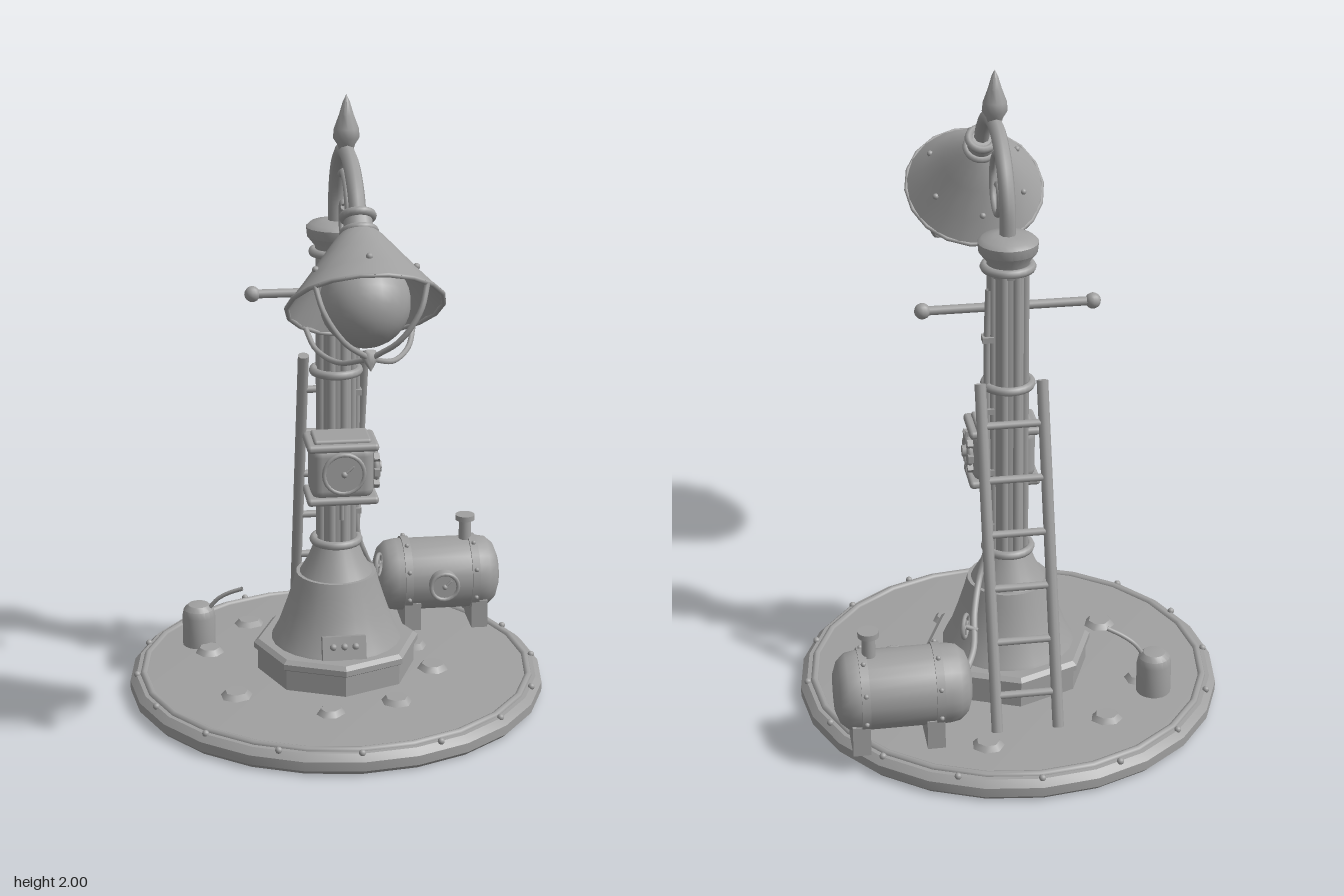
import * as THREE from 'three';
import { RoundedBoxGeometry } from 'three/addons/geometries/RoundedBoxGeometry.js';
import { toCreasedNormals } from 'three/addons/utils/BufferGeometryUtils.js';

const grey = new THREE.MeshStandardMaterial({ color: 0xa0a0a0 });
grey.name = 'plain grey';
grey.side = THREE.DoubleSide;
const V = (x, y, z) => new THREE.Vector3(x, y, z);
const UP = V(0, 1, 0);

function add(parent, name, geo, x = 0, y = 0, z = 0) {
  const m = new THREE.Mesh(geo, grey);
  m.name = name;
  m.position.set(x, y, z);
  parent.add(m);
  return m;
}
function group(parent, name, x = 0, y = 0, z = 0) {
  const g = new THREE.Group();
  g.name = name;
  g.position.set(x, y, z);
  parent.add(g);
  return g;
}
const lathe = (pts, seg = 24, crease = 0.6) =>
  toCreasedNormals(new THREE.LatheGeometry(pts.map(p => new THREE.Vector2(p[0], p[1])), seg), crease);
const cyl = (r1, r2, h, seg = 16) => new THREE.CylinderGeometry(r1, r2, h, seg);
const ball = (r) => new THREE.SphereGeometry(r, 12, 8);
const tube = (pts, r, n = 32) => new THREE.TubeGeometry(new THREE.CatmullRomCurve3(pts), n, r, 8);
const flatRing = (r, t, seg = 24) => new THREE.TorusGeometry(r, t, 8, seg).rotateX(Math.PI / 2);
function rod(parent, name, a, b, r) {
  const m = add(parent, name, cyl(r, r, a.distanceTo(b), 10));
  m.position.copy(a).add(b).multiplyScalar(0.5);
  m.quaternion.setFromUnitVectors(UP, b.clone().sub(a).normalize());
  return m;
}
function around(n, fn, offset = 0) {
  for (let i = 0; i < n; i++) {
    const a = offset + i / n * Math.PI * 2;
    fn(Math.cos(a), Math.sin(a), a, i);
  }
}

function buildBase(root) {
  const g = group(root, 'base', 0, 0, -0.095);
  add(g, 'baseDisc', lathe([[0, 0], [0.66, 0], [0.675, 0.015], [0.675, 0.045], [0.655, 0.065], [0.62, 0.068], [0, 0.068]]));
  add(g, 'baseRim', flatRing(0.63, 0.013), 0, 0.064);
  around(16, (c, s) => add(g, 'rimRivet', ball(0.011), c * 0.652, 0.066, s * 0.652));
  // Flat paving stones, each a slightly different irregular disc
  const stones = [[-0.255, -0.46], [-0.405, -0.245], [-0.345, 0.11], [-0.06, 0.27], [0.155, 0.215], [0.31, -0.025], [0.275, -0.21], [0.135, -0.55]];
  stones.forEach(([x, z], i) => {
    const m = add(root, 'stone', cyl(0.036, 0.052, 0.018, 7), x, 0.076, z);
    m.rotation.y = i * 1.3;
    m.scale.z = 0.85 + 0.1 * (i % 3);
  });
}

function buildPost(root) {
  const g = group(root, 'post', 0, 0, -0.095);
  add(g, 'plinth', lathe([[0.258, 0.065], [0.258, 0.135], [0.27, 0.142], [0.27, 0.16], [0.255, 0.172], [0, 0.172]], 8, 0.3));
  add(g, 'bellFoot', lathe([[0.215, 0.165], [0.208, 0.18], [0.187, 0.22], [0.162, 0.29], [0.14, 0.36], [0.13, 0.4], [0.118, 0.4], [0.09, 0.45], [0.066, 0.51]]));
  add(g, 'shaft', cyl(0.055, 0.055, 1.0), 0, 0.97);
  around(8, (c, s) => add(g, 'rib', cyl(0.014, 0.014, 0.96, 8), c * 0.052, 0.98, s * 0.052), Math.PI / 8);
  for (const y of [0.51, 1.08, 1.465]) add(g, 'collar', flatRing(0.072, 0.014), 0, y);
  add(g, 'capital', lathe([[0.06, 1.44], [0.066, 1.485], [0.09, 1.515], [0.093, 1.545], [0.08, 1.557], [0.04, 1.565], [0, 1.565]]));
  // Cross bar with ball ends
  rod(g, 'crossBar', V(-0.26, 1.335, 0), V(0.26, 1.335, 0), 0.014);
  for (const x of [-1, 1]) add(g, 'barKnob', ball(0.025), x * 0.262, 1.335);
  // Name-plate sized control panel on the foot
  const panel = group(g, 'footPanel', 0, 0.215, 0.205);
  panel.rotation.x = -0.3;
  add(panel, 'panelPlate', new THREE.BoxGeometry(0.14, 0.075, 0.035));
  for (const x of [-0.036, 0, 0.036]) add(panel, 'panelButton', ball(0.011), x, 0.005, 0.02);
}

function buildArm(root) {
  const arc = [[-0.093, 1.55], [-0.085, 1.65], [-0.035, 1.745], [0.06, 1.81], [0.17, 1.828], [0.285, 1.808], [0.38, 1.752], [0.44, 1.67]];
  add(root, 'arm', tube(arc.map(([z, y]) => V(0, y, z)), 0.025, 48));
  add(root, 'finial', lathe([[0.022, 1.835], [0.026, 1.85], [0.04, 1.872], [0.037, 1.9], [0.022, 1.94], [0.01, 1.98], [0, 2]], 12, 1), 0, 0, 0.157);
  const curl = [[0.03, 1.735], [0.085, 1.752], [0.16, 1.728], [0.206, 1.656], [0.188, 1.585], [0.13, 1.553], [0.07, 1.575], [0.054, 1.625], [0.078, 1.658], [0.11, 1.652]];
  add(root, 'scroll', tube(curl.map(([z, y]) => V(0, y, z)), 0.011, 48));
}

function buildLamp(root) {
  // Local -y runs from the neck toward the rim
  const g = group(root, 'lamp', 0, 1.67, 0.437);
  g.rotation.x = -0.655;
  add(g, 'neck', cyl(0.04, 0.045, 0.06), 0, 0.005);
  add(g, 'neckRing', flatRing(0.042, 0.013), 0, 0.03);
  add(g, 'neckLowerRing', flatRing(0.046, 0.012), 0, -0.02);
  add(g, 'shade', lathe([[0.04, -0.01], [0.07, -0.04], [0.115, -0.1], [0.175, -0.18], [0.228, -0.247], [0.22, -0.247], [0.165, -0.18], [0.06, -0.045]], 18));
  add(g, 'shadeRim', flatRing(0.224, 0.007, 18), 0, -0.246);
  around(6, (c, s) => add(g, 'shadeRivet', ball(0.01), c * 0.165, -0.165, s * 0.165), Math.PI / 6);
  add(g, 'globe', new THREE.SphereGeometry(0.13, 24, 16), 0, -0.235);
  around(4, (c, s) => {
    const pts = [[0.222, -0.245], [0.19, -0.32], [0.11, -0.385], [0.01, -0.405]];
    add(g, 'cageBar', tube(pts.map(([r, y]) => V(c * r, y, s * r)), 0.008, 16));
  }, Math.PI / 4);
  add(g, 'cageTip', lathe([[0, -0.445], [0.012, -0.425], [0.025, -0.4], [0.02, -0.385], [0, -0.38]], 12, 1));
}

function buildClockBox(root) {
  const g = group(root, 'clockBox', 0, 0.795, 0.025);
  add(g, 'boxBody', new RoundedBoxGeometry(0.2, 0.18, 0.14, 3, 0.035));
  for (const y of [-0.09, 0.085]) add(g, 'boxTrim', new RoundedBoxGeometry(0.226, 0.026, 0.155, 3, 0.012), 0, y, 0);
  add(g, 'boxLid', new RoundedBoxGeometry(0.18, 0.02, 0.12, 2, 0.009), 0, 0.1);
  add(g, 'dial', cyl(0.062, 0.066, 0.03, 24).rotateX(Math.PI / 2), 0, 0.008, 0.078);
  add(g, 'dialRim', new THREE.TorusGeometry(0.063, 0.007, 8, 24), 0, 0.008, 0.09);
  add(g, 'dialHub', ball(0.01), 0, 0.008, 0.096);
  rod(g, 'dialHand', V(0, 0.008, 0.097), V(0.03, 0.035, 0.097), 0.004);
  rod(g, 'pendulum', V(0, -0.08, 0.03), V(0, -0.165, 0.03), 0.007);
  // Cog on the side
  const cog = group(g, 'cog', 0.108, 0, 0);
  add(cog, 'cogRing', new THREE.TorusGeometry(0.045, 0.011, 8, 20).rotateY(Math.PI / 2));
  add(cog, 'cogHub', cyl(0.018, 0.022, 0.04).rotateZ(-Math.PI / 2));
  around(8, (c, s, a) => {
    const t = add(cog, 'cogTooth', new THREE.BoxGeometry(0.018, 0.022, 0.02), 0, s * 0.06, c * 0.06);
    t.rotation.x = -a;
    if (Math.round(a / (Math.PI / 4)) % 2 === 0) rod(cog, 'cogSpoke', V(0, 0, 0), V(0, s * 0.045, c * 0.045), 0.007);
  });
}

function buildLadder(root) {
  const g = group(root, 'ladder');
  const at = (x, t) => V(x, 1.11 - t * 1.04, -0.16 - t * 0.325);
  for (const x of [-0.096, 0.096]) rod(g, 'rail', at(x, 0), at(x, 1), 0.018);
  for (let i = 0; i < 6; i++) rod(g, 'rung', at(-0.096, 0.12 + i * 0.155), at(0.096, 0.12 + i * 0.155), 0.012);
}

function buildTank(root) {
  const g = group(root, 'tank', 0.385, 0.235, -0.438);
  const half = [[0, 0.213], [0.06, 0.21], [0.095, 0.197], [0.117, 0.172], [0.123, 0.14]];
  const profile = [...half.map(([r, y]) => [r, -y]), ...half.slice().reverse()];
  add(g, 'tankBody', lathe(profile, 24, 1).rotateZ(-Math.PI / 2));
  for (const x of [-0.107, 0.122]) {
    add(g, 'tankBand', cyl(0.13, 0.13, 0.026, 24).rotateZ(Math.PI / 2), x);
    around(8, (c, s) => add(g, 'bandRivet', ball(0.008), x, c * 0.131, s * 0.131), Math.PI / 8);
    add(g, 'tankFoot', new THREE.BoxGeometry(0.055, 0.1, 0.21), x + 0.015, -0.12);
  }
  add(g, 'gauge', cyl(0.05, 0.05, 0.035, 20).rotateX(Math.PI / 2), 0.008, 0.005, 0.132);
  add(g, 'gaugeRim', new THREE.TorusGeometry(0.046, 0.007, 8, 20), 0.008, 0.005, 0.149);
  add(g, 'gaugeHub', ball(0.009), 0.008, 0.005, 0.152);
  rod(g, 'gaugeHand', V(0.008, 0.005, 0.153), V(0.03, 0.027, 0.153), 0.004);
  add(g, 'filler', cyl(0.02, 0.022, 0.1), 0.1, 0.15);
  add(g, 'fillerCap', cyl(0.033, 0.033, 0.018), 0.1, 0.198);
  // Pipe from the post to the tank, with clips and a valve wheel
  const path = [[0.062, 1.4, -0.115], [0.068, 1.2, -0.115], [0.068, 0.8, -0.115], [0.072, 0.52, -0.12], [0.1, 0.43, -0.15], [0.13, 0.355, -0.24], [0.15, 0.29, -0.35], [0.19, 0.25, -0.43]];
  add(root, 'pipe', tube(path.map(p => V(...p)), 0.011, 64));
  for (const y of [1.24, 1.0, 0.79, 0.6]) add(root, 'pipeClip', new THREE.BoxGeometry(0.035, 0.018, 0.038), 0.066, y, -0.115);
  const wheel = group(root, 'valveWheel', 0.165, 0.335, -0.28);
  wheel.rotation.y = 1.2;
  add(wheel, 'wheelRing', new THREE.TorusGeometry(0.036, 0.007, 8, 18));
  around(2, (c, s) => rod(wheel, 'wheelSpoke', V(-c * 0.036, -s * 0.036, 0), V(c * 0.036, s * 0.036, 0), 0.005));
  rod(wheel, 'wheelSpoke', V(0, -0.036, 0), V(0, 0.036, 0), 0.005);
  rod(wheel, 'wheelStem', V(0, 0, 0.005), V(0, -0.01, -0.04), 0.008);
}

function buildOilCan(root) {
  const g = group(root, 'oilCan', -0.435, 0.065, -0.32);
  add(g, 'canBody', lathe([[0.055, 0], [0.055, 0.105], [0.05, 0.128], [0.035, 0.143], [0, 0.148]], 18));
  add(g, 'spout', tube([V(0.03, 0.125, 0.01), V(0.06, 0.165, 0.02), V(0.095, 0.19, 0.032), V(0.143, 0.212, 0.05)], 0.007, 16));
}

export function createModel() {
  const root = new THREE.Group();
  root.name = 'streetLamp';
  [buildBase, buildPost, buildArm, buildLamp, buildClockBox, buildLadder, buildTank, buildOilCan].forEach(f => f(root));
  return root;
}
